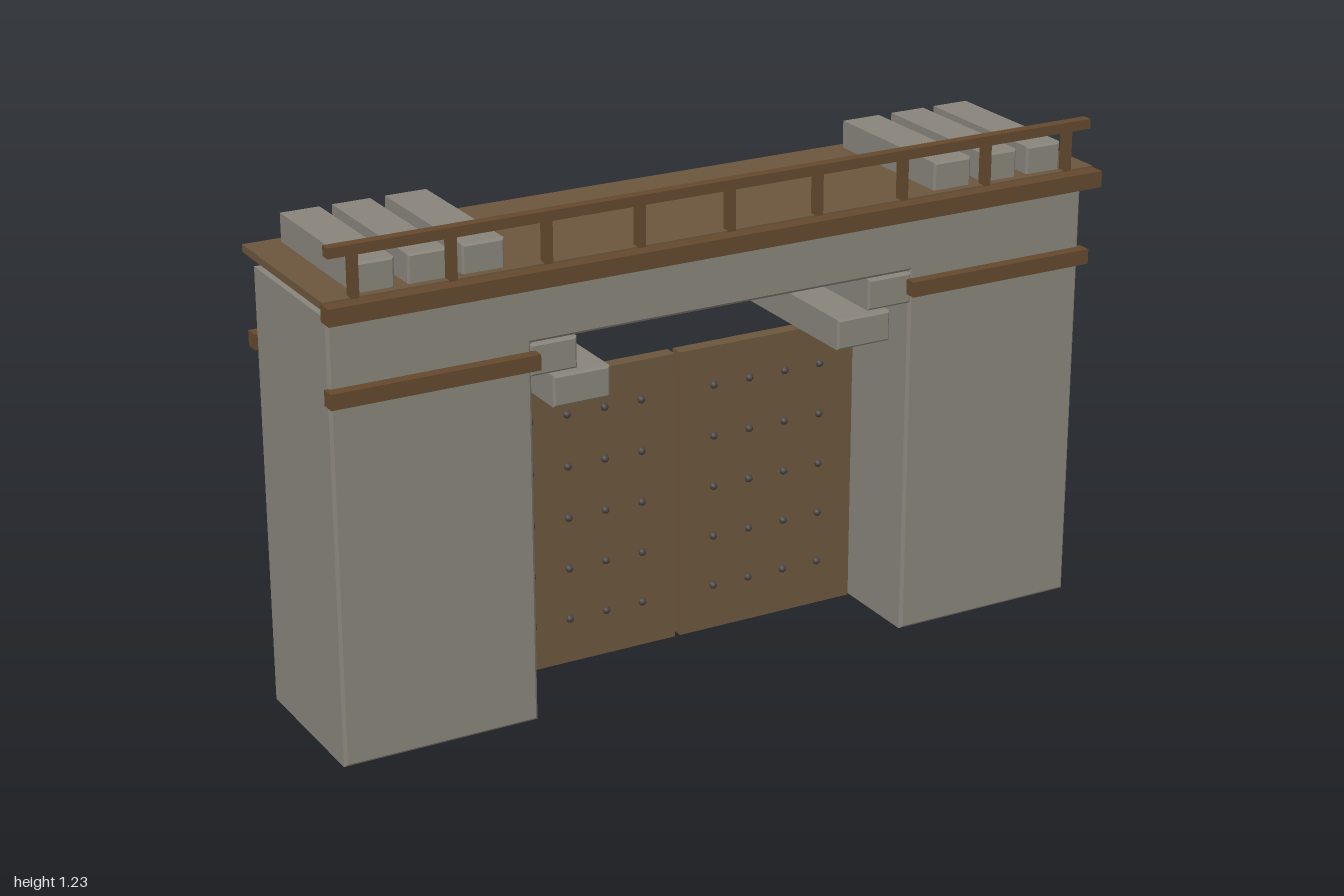
import * as THREE from 'three';

const stone = new THREE.MeshStandardMaterial({ color: 0x87837a });
const planks = new THREE.MeshStandardMaterial({ color: 0x6b553c });
const timber = new THREE.MeshStandardMaterial({ color: 0x62482d });
const iron = new THREE.MeshStandardMaterial({ color: 0x4a4643 });

const BACK = -0.215, FRONT = 0.19; // depth of the masonry

export function createModel() {
  const root = new THREE.Group();

  function add(name, geometry, material, parent = root) {
    const mesh = new THREE.Mesh(geometry, material);
    mesh.name = name;
    parent.add(mesh);
    return mesh;
  }

  // Plain box given by its limits
  function box(name, x0, x1, y0, y1, z0, z1, material, parent) {
    const mesh = add(name, new THREE.BoxGeometry(x1 - x0, y1 - y0, z1 - z0), material, parent);
    mesh.position.set((x0 + x1) / 2, (y0 + y1) / 2, (z0 + z1) / 2);
    return mesh;
  }

  // Chamfered masonry running the full depth, from an outline in x and y
  function masonry(name, points, bevel) {
    const shape = new THREE.Shape(points.map(([x, y]) => new THREE.Vector2(x, y)));
    const geometry = new THREE.ExtrudeGeometry(shape, {
      depth: FRONT - BACK - 2 * bevel,
      bevelThickness: bevel, bevelSize: bevel, bevelOffset: -bevel, bevelSegments: 1,
    });
    geometry.translate(0, 0, BACK + bevel);
    return add(name, geometry, stone);
  }
  const block = (name, x0, x1, y0, y1) =>
    masonry(name, [[x0, y0], [x1, y0], [x1, y1], [x0, y1]], 0.005);

  // Two piers and the lintel as one body
  masonry('gateWall', [
    [-0.98, 0], [-0.495, 0], [-0.495, 0.925], [0.495, 0.925],
    [0.495, 0], [0.98, 0], [0.98, 1.067], [-0.98, 1.067],
  ], 0.007);

  // Parts repeated on both sides
  for (const [side, s] of [['left', 1], ['right', -1]]) {
    const span = (a, b) => (s > 0 ? [a, b] : [-b, -a]);

    // Stepped corbels under the lintel
    block(side + 'UpperCorbel', ...span(0.382, 0.5), 0.846, 0.922);
    block(side + 'LowerCorbel', ...span(0.3, 0.443), 0.762, 0.837);

    // Battlement blocks
    for (const [a, b] of [[0.556, 0.658], [0.694, 0.787], [0.817, 0.912]]) {
      block(side + 'Battlement', ...span(a, b), 1.075, 1.18);
    }

    // Timber bands on the front and back of the pier
    box(side + 'FrontBand', ...span(0.487, 0.988), 0.87, 0.907, 0.183, 0.219, timber);
    box(side + 'BackBand', ...span(0.487, 0.988), 0.87, 0.907, -0.243, -0.207, timber);

    // Door leaf with rows of studs
    const door = new THREE.Group();
    door.name = side + 'Door';
    root.add(door);
    box(side + 'DoorLeaf', ...span(0.007, 0.487), 0.003, 0.737, -0.075, -0.04, planks, door);
    const studGeometry = new THREE.SphereGeometry(0.01, 8, 6);
    for (let row = 0; row < 5; row++) {
      for (let col = 0; col < 4; col++) {
        const stud = add('doorStud', studGeometry, iron, door);
        stud.position.set(s * (0.098 + col * 0.098), 0.118 + row * 0.1305, -0.038);
      }
    }
  }

  // Walkway deck and its front beam
  box('deck', -0.995, 0.995, 1.095, 1.113, -0.235, 0.21, planks);
  box('frontBeam', -0.997, 0.997, 1.069, 1.109, 0.204, 0.246, timber);

  // Railing along the front
  for (let i = -4; i <= 4; i++) {
    box('railingPost', i * 0.23 - 0.01, i * 0.23 + 0.01, 1.11, 1.21, 0.191, 0.212, timber);
  }
  box('handrail', -0.98, 0.98, 1.208, 1.232, 0.188, 0.214, timber);

  return root;
}
